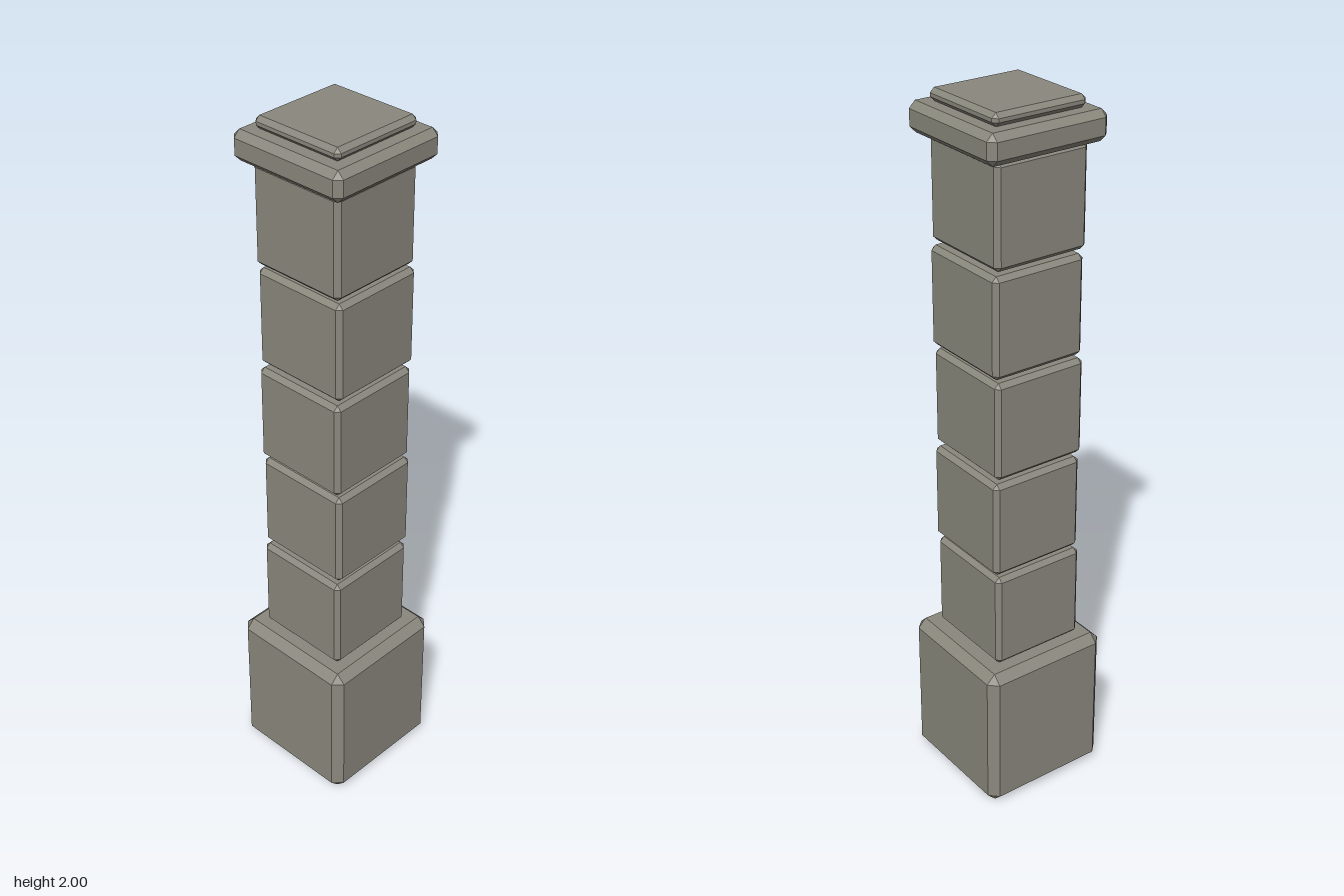
import * as THREE from 'three';
import { ConvexGeometry } from 'three/addons/geometries/ConvexGeometry.js';

const stone = new THREE.MeshStandardMaterial({ color: 0x8a887d });
stone.name = 'grey stone';

// Box with every edge cut at 45 degrees; each corner becomes a small triangle
function chamferedBox(w, h, d, c) {
  const points = [];
  for (const x of [-1, 1]) for (const y of [-1, 1]) for (const z of [-1, 1]) {
    const [a, b, e] = [w / 2, h / 2, d / 2];
    points.push(
      new THREE.Vector3(x * a, y * (b - c), z * (e - c)),
      new THREE.Vector3(x * (a - c), y * b, z * (e - c)),
      new THREE.Vector3(x * (a - c), y * (b - c), z * e));
  }
  return new ConvexGeometry(points);
}

export function createModel() {
  const pillar = new THREE.Group();
  pillar.name = 'stonePillar';

  function addStone(name, width, depth, bottom, top, chamfer, x = 0) {
    const mesh = new THREE.Mesh(chamferedBox(width, top - bottom, depth, chamfer), stone);
    mesh.name = name;
    mesh.position.set(x, (bottom + top) / 2, 0);
    pillar.add(mesh);
  }

  // Heavy plinth
  addStone('base', 0.387, 0.387, 0, 0.44, 0.025);

  // Shaft of five separate blocks, nudged alternately to either side
  for (let i = 0; i < 5; i++) {
    const bottom = 0.44 + i * 0.291;
    addStone('shaftBlock' + (i + 1), 0.281, 0.287, bottom, bottom + 0.28, 0.013, i % 2 ? 0.003 : -0.003);
  }

  // Projecting cap and the thin slab on top
  addStone('cap', 0.358, 0.358, 1.885, 1.966, 0.018);
  addStone('topSlab', 0.278, 0.278, 1.966, 2, 0.012);

  return pillar;
}
